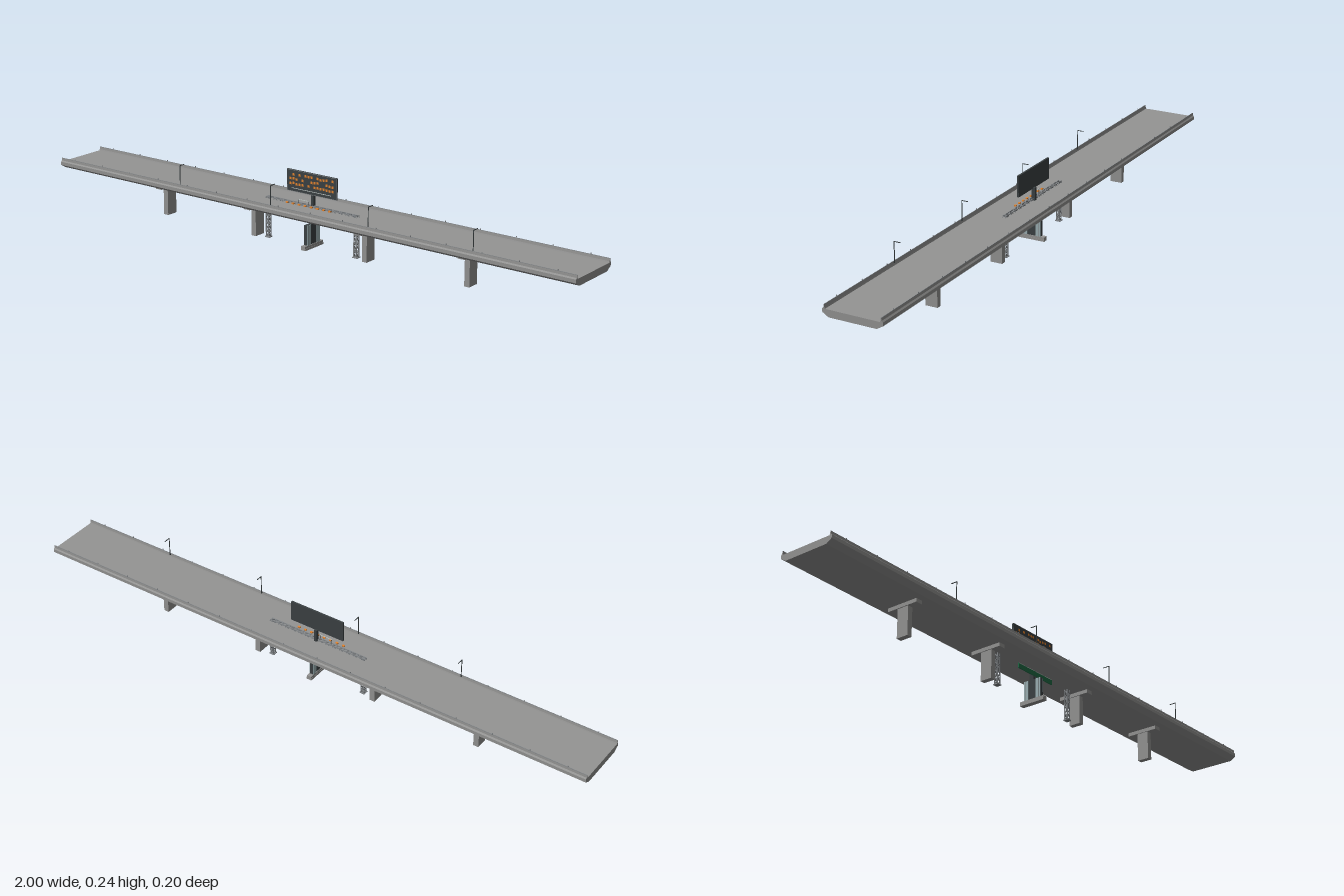
import * as THREE from 'three';

const mat = (name, color) => {
  const m = new THREE.MeshStandardMaterial({ color });
  m.name = name;
  return m;
};

export function createModel() {
  const root = new THREE.Group();
  root.name = 'elevatedRoad';
  const concrete = mat('concrete', 0x959594);
  const dark = mat('dark metal', 0x3c4244);
  const steel = mat('steel', 0x83878a);
  const green = mat('sign green', 0x1f6b45);
  const pale = mat('pale trim', 0xc4ccca);
  const glass = mat('teal glass', 0x9db2b5);
  const amber = mat('amber lights', 0xe8862e);

  const group = (name, parent = root) => {
    const g = new THREE.Group();
    g.name = name;
    parent.add(g);
    return g;
  };
  // Box given by its extents on each axis
  const box = (name, m, x0, x1, y0, y1, z0, z1, parent = root) => {
    const mesh = new THREE.Mesh(new THREE.BoxGeometry(x1 - x0, y1 - y0, z1 - z0), m);
    mesh.position.set((x0 + x1) / 2, (y0 + y1) / 2, (z0 + z1) / 2);
    mesh.name = name;
    parent.add(mesh);
  };
  // Front-facing flat plate
  const plate = (name, m, x0, x1, y0, y1, z, parent) => {
    const mesh = new THREE.Mesh(new THREE.PlaneGeometry(x1 - x0, y1 - y0), m);
    mesh.position.set((x0 + x1) / 2, (y0 + y1) / 2, z);
    mesh.name = name;
    parent.add(mesh);
  };
  // Thin square bar between two points
  const bar = (name, m, a, b, t, parent) => {
    const p = new THREE.Vector3(...a), q = new THREE.Vector3(...b);
    const mesh = new THREE.Mesh(new THREE.BoxGeometry(t, t, p.distanceTo(q)), m);
    mesh.position.copy(p).lerp(q, 0.5);
    mesh.lookAt(q);
    mesh.name = name;
    parent.add(mesh);
  };
  // Cross-section in (z, y), swept along the whole road
  const sweep = (name, m, pts) => {
    const shape = new THREE.Shape(pts.map(p => new THREE.Vector2(...p)));
    const geo = new THREE.ExtrudeGeometry(shape, { depth: 2, bevelEnabled: false });
    geo.rotateY(-Math.PI / 2).translate(1, 0, 0);
    const mesh = new THREE.Mesh(geo, m);
    mesh.name = name;
    root.add(mesh);
  };

  // Road deck with chamfered underside
  sweep('deck', concrete, [[-0.078, 0.107], [0.078, 0.107], [0.098, 0.119],
    [0.098, 0.13], [-0.098, 0.13], [-0.098, 0.119]]);

  // Tapered parapets, slim top rail and small studs
  for (const s of [-1, 1]) {
    sweep('parapet', concrete, [[0.098, 0.13], [0.094, 0.134], [0.0935, 0.142],
      [0.0915, 0.142], [0.0905, 0.134], [0.089, 0.13]].map(([z, y]) => [z * s, y]));
    box('parapetRail', steel, -1, 1, 0.142, 0.143, s * 0.0925 - 0.001, s * 0.0925 + 0.001);
    for (let i = 0; i < 16; i++) {
      const x = -0.9375 + i * 0.125;
      box('railStud', steel, x - 0.001, x + 0.001, 0.142, 0.147, s * 0.0925 - 0.001, s * 0.0925 + 0.001);
    }
  }

  // Piers with wide caps
  for (const x of [-0.595, -0.22, 0.218, 0.592]) {
    const p = group('pier');
    box('pierColumn', concrete, x - 0.009, x + 0.009, 0, 0.096, -0.02, 0.021, p);
    box('pierCap', concrete, x - 0.012, x + 0.012, 0.095, 0.108, -0.055, 0.055, p);
  }

  // Street lamps along the front side
  for (const x of [-0.47, -0.095, 0.28, 0.654]) {
    const l = group('streetLamp');
    box('lampPost', dark, x - 0.001, x + 0.001, 0.142, 0.205, 0.087, 0.089, l);
    box('lampBracket', dark, x - 0.001, x + 0.001, 0.138, 0.142, 0.087, 0.092, l);
    box('lampArm', dark, x - 0.001, x + 0.001, 0.2035, 0.2055, 0.066, 0.089, l);
  }

  // Lattice truss along one axis: four chords with zigzag bracing
  const truss = (name, axis, from, to, cx, cy, h, n) => {
    const g = group(name);
    const at = (t, u, v) => axis === 'y' ? [cx + u * h, t, v * h] : [t, cy + u * h, v * h];
    for (const u of [-1, 1]) for (const v of [-1, 1])
      bar('chord', steel, at(from, u, v), at(to, u, v), 0.0025, g);
    for (let i = 0; i < n; i++) {
      const a = from + (to - from) * i / n, b = from + (to - from) * (i + 1) / n;
      const s = i % 2 ? 1 : -1;
      for (const k of [-1, 1]) {
        bar('brace', steel, at(a, s, k), at(b, -s, k), 0.0025, g);
        bar('brace', steel, at(a, k, s), at(b, k, -s), 0.0025, g);
      }
    }
  };
  for (const x of [-0.175, 0.172]) {
    truss('gantryLeg', 'y', 0, 0.132, x, 0, 0.0055, 10);
    box('gantryFoot', steel, x - 0.009, x + 0.009, 0, 0.003, -0.009, 0.009);
  }
  truss('gantryBeam', 'x', -0.182, 0.178, 0, 0.13, 0.005, 28);

  // Green direction sign under the deck
  const sign = group('directionSign');
  box('signPanel', green, -0.084, 0.081, 0.09, 0.11, 0.007, 0.01, sign);
  box('signBack', steel, -0.084, 0.081, 0.09, 0.11, 0.006, 0.007, sign);
  plate('signTopTrim', pale, -0.084, 0.081, 0.1055, 0.107, 0.0105, sign);

  // Message board on a post above the deck
  const board = group('messageBoard');
  box('boardPost', dark, -0.005, 0.005, 0.1, 0.173, -0.011, 0, board);
  box('boardPanel', dark, -0.099, 0.096, 0.17, 0.24, -0.005, 0.001, board);
  for (const [x0, x1, y0, y1] of [[-0.099, 0.096, 0.2385, 0.24], [-0.099, 0.096, 0.17, 0.1715],
    [-0.099, -0.0975, 0.1715, 0.2385], [0.0945, 0.096, 0.1715, 0.2385]])
    plate('boardFrame', steel, x0, x1, y0, y1, 0.0015, board);
  // Scattered lit cells in three rows
  let seed = 7;
  const rnd = () => (seed = (seed * 16807) % 2147483647) / 2147483647;
  for (const y of [0.226, 0.211, 0.196]) {
    for (let i = 0; i < 15; i++) {
      if (rnd() < 0.35) continue;
      const x = -0.088 + i * 0.0118, dy = (rnd() - 0.5) * 0.004;
      plate('litCell', amber, x, x + 0.008, y + dy - 0.004, y + dy + 0.004, 0.0018, board);
    }
  }
  plate('boardLowerStrip', pale, -0.08, 0.076, 0.18, 0.182, 0.0018, board);

  // Access rail and small floodlights in front of the board
  box('accessRail', pale, -0.052, -0.006, 0.148, 0.1495, 0.004, 0.0055);
  for (const x of [-0.05, -0.01]) box('accessRailPost', dark, x, x + 0.0015, 0.13, 0.149, 0.004, 0.0055);
  for (let i = 0; i < 8; i++) {
    const x = -0.088 + i * 0.024;
    const f = group('floodlight');
    bar('floodlightArm', steel, [x, 0.132, 0.005], [x, 0.135, 0.016], 0.0014, f);
    box('floodlightHead', amber, x - 0.004, x + 0.004, 0.133, 0.137, 0.012, 0.018, f);
  }

  // Part-glazed pylon on a stepped base beneath the centre span
  const pylon = group('pylon');
  box('pylonBase', concrete, -0.009, 0.009, 0, 0.007, -0.046, 0.046, pylon);
  box('pylonStep', concrete, -0.008, 0.008, 0.007, 0.014, -0.046, 0.046, pylon);
  box('pylonBody', dark, -0.006, 0.006, 0.014, 0.079, -0.032, 0.033, pylon);
  box('pylonNeck', dark, -0.005, 0.005, 0.079, 0.107, -0.01, 0.004, pylon);
  for (const s of [-1, 1]) {
    for (const [z0, z1] of [[-0.032, -0.015], [0.015, 0.033]])
      box('pylonGlass', glass, s * 0.0065 - 0.0007, s * 0.0065 + 0.0007, 0.014, 0.079, z0, z1, pylon);
    for (const z of [-0.026, 0.027])
      box('glazingBar', steel, s * 0.0072 - 0.0003, s * 0.0072 + 0.0003, 0.014, 0.079, z - 0.0006, z + 0.0006, pylon);
  }
  return root;
}
